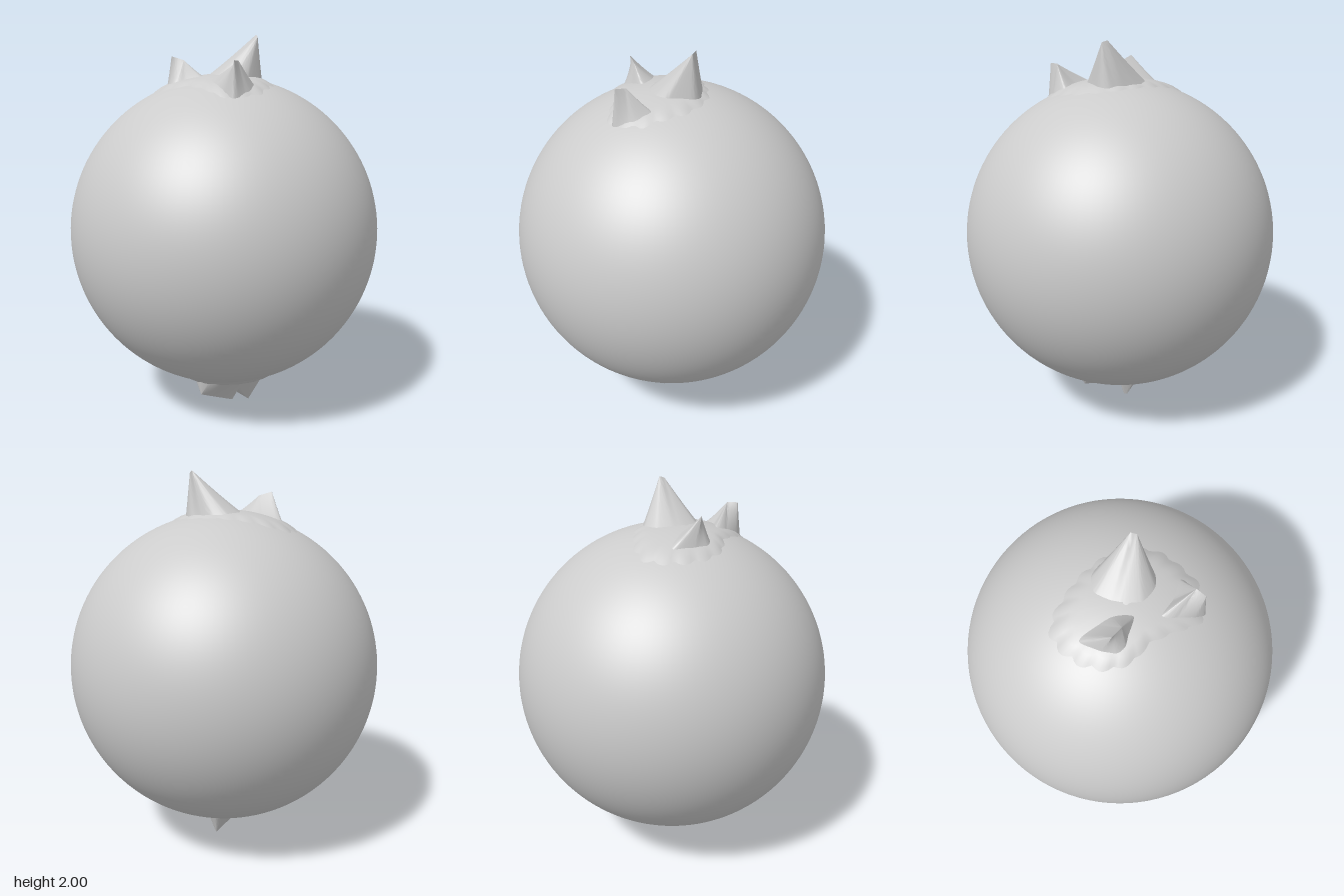
import * as THREE from 'three';
import { toCreasedNormals } from 'three/addons/utils/BufferGeometryUtils.js';

const R = 0.82, CY = 0.97, N = 96;
const material = new THREE.MeshStandardMaterial({ color: 0xcccccc });

// Height of the ball's surface above (or below, side = -1) a point, with a small lift.
const surfaceY = (x, z, side, lift) => CY + side * Math.sqrt((R + lift) ** 2 - x * x - z * z);

// Closed outline through [x, z] points, ordered so the faces look outward on that side.
function outline(points, side, tension) {
  const curve = new THREE.CatmullRomCurve3(
    points.map(([x, z]) => new THREE.Vector3(x, 0, z)), true, 'catmullrom', tension);
  const ring = curve.getSpacedPoints(N).slice(0, N);
  const area = THREE.ShapeUtils.area(ring.map(p => new THREE.Vector2(p.x, p.z)));
  return area * side > 0 ? ring.reverse() : ring;
}

// Skin over closed rings, from the outer one to the inner one.
function loft(rings) {
  const index = [];
  for (let r = 0; r < rings.length - 1; r++) {
    for (let i = 0; i < N; i++) {
      const a = r * N + i, b = r * N + (i + 1) % N;
      index.push(a, b, a + N, b, b + N, a + N);
    }
  }
  const geometry = new THREE.BufferGeometry().setFromPoints(rings.flat());
  geometry.setIndex(index);
  geometry.computeVertexNormals();
  return geometry;
}

// Rock that flares from an outline on the ball up to a short ridge.
function rock(name, side, base, from, to, flare = 1.25) {
  const foot = outline(base, side, 0.3);
  const ridge = new THREE.Line3(new THREE.Vector3(...from), new THREE.Vector3(...to));
  foot.forEach(p => { p.y = surfaceY(p.x, p.z, side, -0.02); });
  const rings = [];
  for (let r = 0; r <= 12; r++) {
    const t = r / 12;
    rings.push(foot.map(p => {
      const top = ridge.closestPointToPoint(p, true, new THREE.Vector3());
      const q = p.clone().lerp(top, t);
      q.y = p.y + (top.y - p.y) * t ** flare;
      return q;
    }));
  }
  const mesh = new THREE.Mesh(toCreasedNormals(loft(rings), 0.6), material);
  mesh.name = name;
  return mesh;
}

// Thin raised patch with a scalloped rim around a cluster of rocks.
function collar(name, side, points, scallops) {
  const rim = outline(points, side, 0.5);
  const centre = rim.reduce((s, p) => s.add(p), new THREE.Vector3()).divideScalar(N);
  const rings = [];
  for (let r = 0; r <= 10; r++) {
    const t = r / 10;
    const lift = -0.004 + 0.018 * Math.sin(Math.min(t * 3.5, 1) * Math.PI / 2);
    rings.push(rim.map((p, i) => {
      const bump = Math.abs(Math.sin(i / N * Math.PI * scallops));
      const q = p.clone().lerp(centre, t * 0.95 + 0.07 * (1 - bump) * (1 - t));
      q.y = surfaceY(q.x, q.z, side, lift);
      return q;
    }));
  }
  const mesh = new THREE.Mesh(loft(rings), material);
  mesh.name = name;
  return mesh;
}

export function createModel() {
  const model = new THREE.Group();
  model.name = 'rockyBall';

  const ball = new THREE.Mesh(new THREE.SphereGeometry(R, 96, 64), material);
  ball.name = 'ball';
  ball.position.y = CY;

  // Upper cluster
  const top = new THREE.Group();
  top.name = 'topRocks';
  top.add(
    collar('topCollar', 1, [[-0.39, 0.08], [-0.33, 0.22], [-0.22, 0.31], [-0.1, 0.33], [0.02, 0.29],
      [0.15, 0.29], [0.3, 0.28], [0.37, 0.13], [0.34, 0.02], [0.26, -0.12], [0.1, -0.2],
      [-0.1, -0.17], [-0.25, -0.1], [-0.36, -0.02]], 19),
    rock('tallRock', 1, [[-0.17, 0], [-0.14, -0.1], [-0.05, -0.15], [0.1, -0.16], [0.16, -0.12],
      [0.18, 0.03], [0.14, 0.11], [0.04, 0.16], [-0.08, 0.11]],
      [0.11, 2.0, -0.125], [0.135, 1.99, -0.11], 1.1),
    rock('rightRock', 1, [[-0.33, 0.08], [-0.1, 0.06], [0.04, 0.12], [-0.05, 0.22], [-0.1, 0.28],
      [-0.16, 0.27]], [-0.15, 1.89, 0.23], [-0.09, 1.87, 0.2]),
    rock('leftRock', 1, [[0.03, 0.2], [0.1, 0.24], [0.31, 0.25], [0.325, 0.12], [0.27, 0.02],
      [0.16, 0.13]], [0.3, 1.865, 0.23], [0.28, 1.865, 0.18]));

  // Lower cluster
  const bottom = new THREE.Group();
  bottom.name = 'bottomRocks';
  bottom.add(
    collar('bottomCollar', -1, [[0.38, 0.05], [0.32, -0.1], [0.2, -0.23], [0.05, -0.24], [-0.08, -0.26],
      [-0.19, -0.16], [-0.2, -0.02], [-0.08, 0.12], [0, 0.27], [0.1, 0.35], [0.25, 0.28],
      [0.35, 0.18]], 18),
    rock('spikeRock', -1, [[-0.17, -0.06], [-0.07, -0.18], [0.05, -0.13], [0.05, -0.04], [-0.05, 0]],
      [-0.01, 0, -0.09], [0.005, 0, -0.08], 1.05),
    rock('wideRock', -1, [[0.31, 0.05], [0.27, -0.06], [0.13, -0.16], [0.04, -0.08], [0.03, 0.1],
      [0.2, 0.18]], [0.21, 0.05, 0.02], [0.08, 0.05, 0], 1),
    rock('frontRock', -1, [[0.02, 0.25], [0.12, 0.29], [0.25, 0.23], [0.27, 0.1], [0.05, 0.08]],
      [0.1, 0.12, 0.27], [0.18, 0.06, 0.1], 1));

  model.add(ball, top, bottom);
  return model;
}
